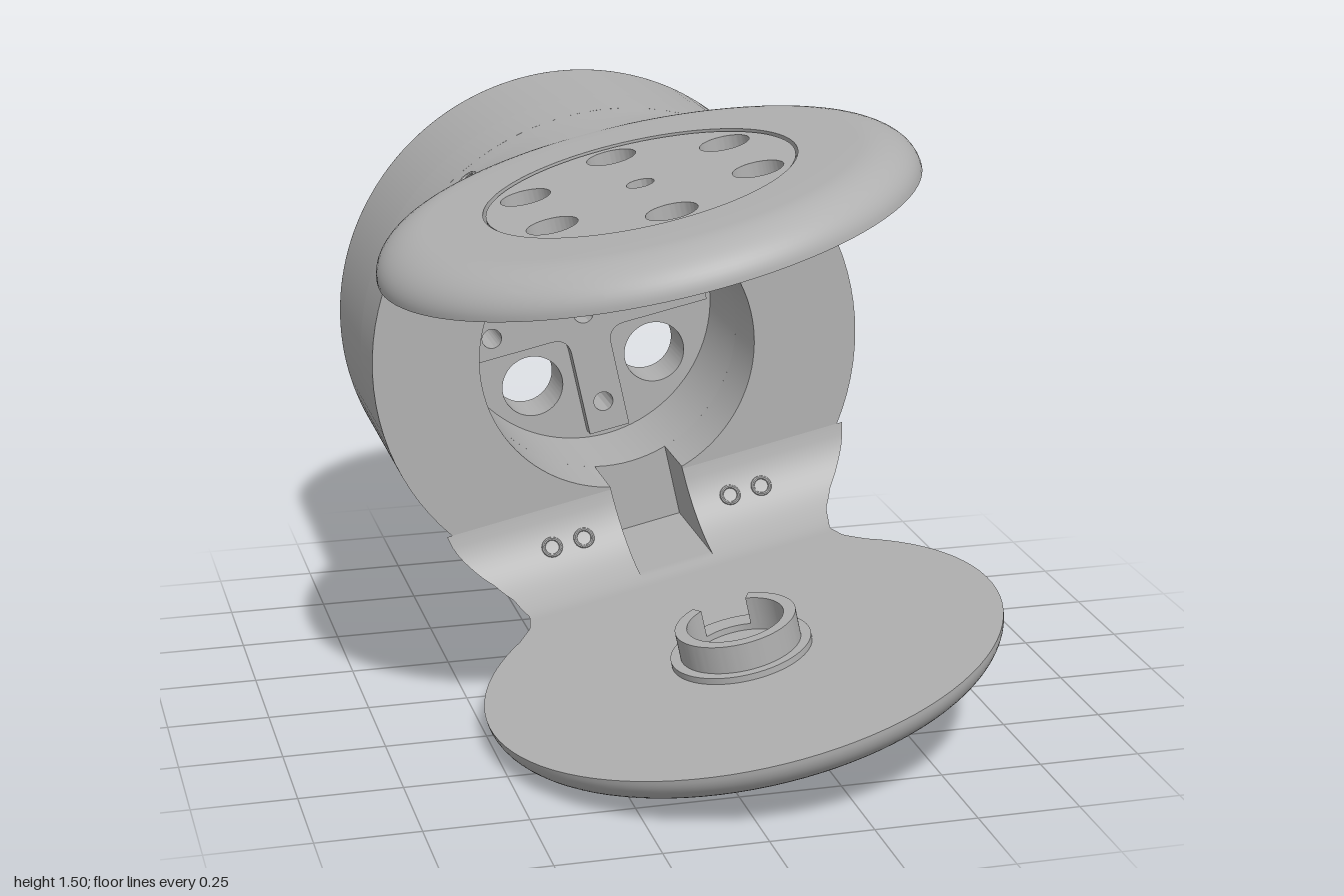
import * as THREE from 'three';
import { toCreasedNormals } from 'three/addons/utils/BufferGeometryUtils.js';

const CYL = 0.65;            // drum radius
const PLATE_R = 0.645, PLATE_Z = 0.355, INNER = 0.563, OUTER = 0.655, ROUND = 0.13;
const grey = new THREE.MeshStandardMaterial({ color: 0xb0b0b0 });
grey.name = 'plain grey';

function part(name, geometry, parent, crease = 0.6) {
  const mesh = new THREE.Mesh(toCreasedNormals(geometry, crease), grey);
  mesh.name = name;
  parent.add(mesh);
  return mesh;
}

const circle = (x, y, r) => new THREE.Path().absarc(x, y, r, 0, Math.PI * 2);
const ringOf = (n, dist, r, start) => Array.from({ length: n }, (_, i) => {
  const a = start + i * Math.PI * 2 / n;
  return circle(Math.cos(a) * dist, Math.sin(a) * dist, r);
});

// Slab along z between two depths
function slab(shape, holes, z0, z1) {
  shape.holes.push(...holes);
  return new THREE.ExtrudeGeometry(shape, { depth: z1 - z0, bevelEnabled: false, curveSegments: 48 }).translate(0, 0, z0);
}
function disc(r, holes, z0, z1) {
  return slab(new THREE.Shape().absarc(0, 0, r, 0, Math.PI * 2), holes, z0, z1);
}
// Lay a slab flat on an arm plate between heights y0 and y1
const flat = (geo, y1) => geo.rotateX(Math.PI / 2).translate(0, y1, PLATE_Z);

// Height of the rounded plate edge at distance d from the rim
function edgeHeight(d) {
  const t = 1 - THREE.MathUtils.clamp(d / ROUND, 0, 1);
  return INNER + (OUTER - INNER) * Math.sqrt(1 - t * t);
}

// Neck: cross-sections blending from the round drum to the flat plate
const NECK = [[-0.42, 0.553], [-0.39, 0.515], [-0.35, 0.47], [-0.3, 0.435], [-0.22, 0.415], [-0.15, 0.43], [-0.08, 0.475]];
function neckWidth(z) {
  if (z >= -0.08) return Math.sqrt(PLATE_R ** 2 - (z - PLATE_Z) ** 2);
  const i = Math.max(1, NECK.findIndex(p => p[0] >= z));
  const [a, b] = [NECK[i - 1], NECK[i]];
  return THREE.MathUtils.lerp(a[1], b[1], (z - a[0]) / (b[0] - a[0]));
}
function neckGeometry(slotted) {
  const cols = [0, 0.05, 0.0999, 0.1];
  const pos = [], index = [], stations = 32, side = 14;
  let ring = 0;
  for (let i = 0; i <= stations; i++) {
    const t = i / stations, z = -0.42 + 0.4 * Math.pow(t, 1.25), w = neckWidth(z);
    const half = [...cols];
    for (let k = 1; k <= side; k++) half.push(0.1 + (w - 0.1) * Math.sin(k / side * Math.PI / 2));
    const us = [...half.slice(1).reverse().map(u => -u), ...half];
    const fillet = z < -0.2 ? 0.342 + Math.sqrt(Math.max(0, 0.221 ** 2 - (z + 0.2) ** 2)) : INNER;
    const s = THREE.MathUtils.smoothstep(z, -0.36, 0);
    const top = [], bottom = [];
    for (const u of us) {
      const inside = slotted && Math.abs(u) < 0.09995 ? Math.max(fillet, 0.555) : fillet;
      const d = z > -0.08 ? PLATE_R - Math.hypot(u, z - PLATE_Z) : (w - Math.abs(u)) * 0.75;
      const round = Math.sqrt(CYL * CYL - u * u);
      const y = THREE.MathUtils.lerp(round, edgeHeight(d), s);
      top.push([u, Math.max(y, inside), z]);
      bottom.push([u, inside, z]);
    }
    const loop = [...top, ...bottom.reverse()];
    ring = loop.length;
    pos.push(...loop.flat());
  }
  for (let i = 0; i < stations; i++) for (let j = 0; j < ring; j++) {
    const a = i * ring + j, b = i * ring + (j + 1) % ring, c = a + ring, e = b + ring;
    index.push(a, c, b, b, c, e);
  }
  const g = new THREE.BufferGeometry();
  g.setAttribute('position', new THREE.Float32BufferAttribute(pos, 3));
  g.setIndex(index);
  return g;
}

// Plate: turned rim, solid when r0 is 0
function plateGeometry(r0) {
  const pts = [new THREE.Vector2(r0, INNER)];
  for (let i = 0; i <= 14; i++) {
    const a = i / 14 * Math.PI / 2;
    pts.push(new THREE.Vector2(PLATE_R - ROUND + ROUND * Math.cos(a), INNER + (OUTER - INNER) * Math.sin(a)));
  }
  pts.push(new THREE.Vector2(r0, OUTER));
  if (r0 > 0) pts.push(pts[0].clone());
  return new THREE.LatheGeometry(pts, 96).translate(0, 0, PLATE_Z);
}

function makeArm(name, slotted) {
  const arm = new THREE.Group();
  arm.name = name;
  part('neck', neckGeometry(slotted), arm);
  part('plate', plateGeometry(slotted ? 0 : 0.372), arm);
  // Screw hole rims on the outside and on the inner fillet
  for (const s of [-1, 1]) {
    const rim = part('outerScrewRim', new THREE.TorusGeometry(0.024, 0.005, 8, 24), arm);
    rim.position.set(s * 0.295, 0.58, -0.34);
    rim.lookAt(s * 0.59, 1.16, -0.34);
    for (const u of [0.205, 0.293]) {
      const inner = part('innerScrewRim', new THREE.TorusGeometry(0.023, 0.005, 8, 24), arm);
      inner.position.set(s * u, 0.46, -0.386);
      inner.rotation.x = 0.567;
    }
  }
  return arm;
}

export function createModel() {
  const model = new THREE.Group();
  model.name = 'drumBracket';
  const tilted = new THREE.Group();
  tilted.name = 'tiltedAssembly';
  tilted.position.y = 0.765;
  tilted.rotation.z = 0.211;
  model.add(tilted);

  // Drum with a bore, and a cable slot at the bottom of its front
  const a = Math.asin(0.1 / 0.37), down = -Math.PI / 2;
  const slottedBore = new THREE.Path().absarc(0, 0, 0.37, down + a, down - a + Math.PI * 2);
  slottedBore.lineTo(-0.1, -0.555);
  slottedBore.lineTo(0.1, -0.555);
  slottedBore.closePath();
  part('drumFront', disc(CYL, [slottedBore], -0.6, -0.42), tilted);
  part('drumBody', disc(CYL, [circle(0, 0, 0.37)], -0.95, -0.6), tilted);

  // Chamfered rear rim with four screw pockets
  const outline = [];
  for (let i = 0; i < 360; i++) {
    const t = i * Math.PI / 180, off = ((i % 90) - 45) * Math.PI / 180;
    const q = 0.048 ** 2 - (0.595 * Math.sin(off)) ** 2;
    const r = q > 0 ? 0.595 * Math.cos(off) - Math.sqrt(q) : CYL;
    outline.push(new THREE.Vector2(r * Math.cos(t), r * Math.sin(t)));
  }
  const rim = slab(new THREE.Shape(outline), [circle(0, 0, 0.423)], -1, -0.95);
  const p = rim.attributes.position;
  for (let i = 0; i < p.count; i++) {
    const r = Math.hypot(p.getX(i), p.getY(i));
    if (p.getZ(i) < -0.99 && r > 0.6) p.setXY(i, p.getX(i) * 0.6 / r, p.getY(i) * 0.6 / r);
  }
  part('rearRim', rim, tilted);

  // Bore floor with through holes and a raised cross
  const small = () => [circle(0, 0, 0.028), ...ringOf(4, 0.262, 0.027, 0)];
  part('boreFloor', disc(0.41, [...small(), ...ringOf(4, 0.25, 0.085, Math.PI / 4)], -1, -0.86), tilted);
  const cross = new THREE.Shape();
  const h = 0.057, f = 0.05, L = 0.345;
  for (let k = 0; k < 4; k++) {
    const c = Math.cos(k * Math.PI / 2), s = Math.sin(k * Math.PI / 2);
    const at = (x, y) => [x * c - y * s, x * s + y * c];
    if (k === 0) cross.moveTo(...at(L, -h)); else cross.lineTo(...at(L, -h));
    cross.lineTo(...at(L, h));
    cross.lineTo(...at(h + f, h));
    cross.quadraticCurveTo(...at(h, h), ...at(h, h + f));
  }
  part('floorCross', slab(cross, small(), -0.86, -0.82), tilted);

  // Upper arm with a drilled mounting disc in its plate
  const upper = makeArm('upperArm', false);
  const hex = r => [circle(0, 0, 0.033), ...ringOf(6, 0.285, r, Math.PI / 2)];
  part('discTop', flat(disc(0.366, hex(0.06), 0, 0.065), 0.65), upper);
  part('discMiddle', flat(disc(0.373, hex(0.034), 0, 0.035), 0.585), upper);
  part('discBottom', flat(disc(0.37, [...hex(0.034), ...ringOf(3, 0.19, 0.088, Math.PI)], 0, 0.027), 0.55), upper);
  tilted.add(upper);

  // Lower arm with an open collar on its plate
  const lower = makeArm('lowerArm', true);
  lower.rotation.z = Math.PI;
  const collar = new THREE.Shape();
  collar.absarc(0, 0, 0.15, down + 0.5, down - 0.5 + Math.PI * 2);
  collar.absarc(0, 0, 0.12, down - 0.5 + Math.PI * 2, down + 0.5, true);
  part('collar', flat(slab(collar, [], 0, 0.09), 0.567), lower);
  part('collarFlange', flat(disc(0.175, [circle(0, 0, 0.12)], 0, 0.02), 0.567), lower);
  tilted.add(lower);

  return model;
}
